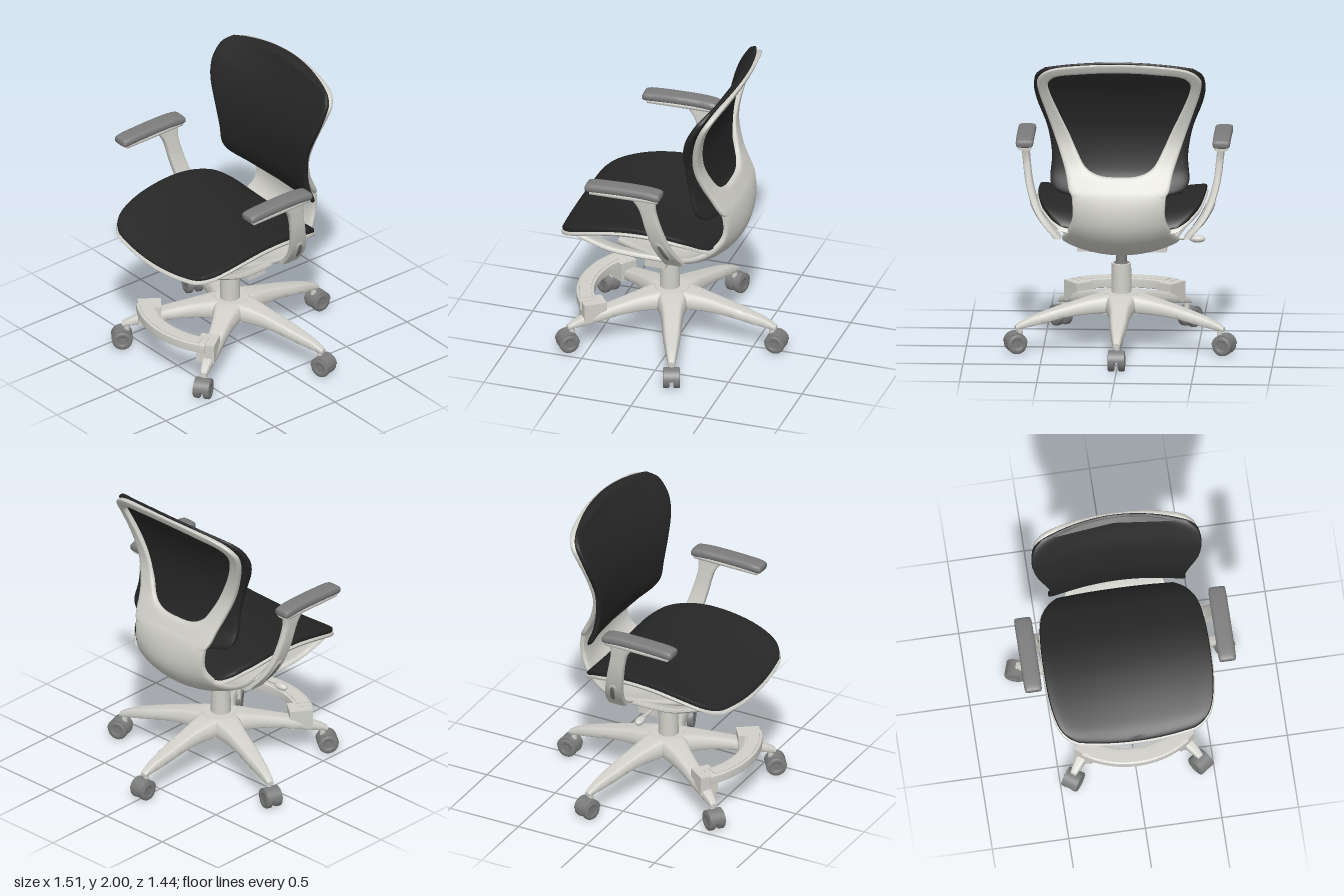
import * as THREE from 'three';
import { mergeVertices, toCreasedNormals } from 'three/addons/utils/BufferGeometryUtils.js';

const mat = (name, color) => Object.assign(new THREE.MeshStandardMaterial({ color }), { name });
const lerp = (a, b, t) => a + (b - a) * t;
const curve = points => new THREE.CatmullRomCurve3(points.map(p => new THREE.Vector3(...p)));

// Smooth lookup through [x, value] pairs sorted by x
function graph(...p) {
  const slope = i => {
    const a = p[Math.max(i - 1, 0)], b = p[Math.min(i + 1, p.length - 1)];
    return (b[1] - a[1]) / (b[0] - a[0]);
  };
  return x => {
    x = Math.min(Math.max(x, p[0][0]), p[p.length - 1][0]);
    let i = 0;
    while (i < p.length - 2 && x > p[i + 1][0]) i++;
    const d = p[i + 1][0] - p[i][0], t = (x - p[i][0]) / d, t2 = t * t, t3 = t2 * t;
    return p[i][1] * (2 * t3 - 3 * t2 + 1) + p[i + 1][1] * (3 * t2 - 2 * t3)
      + d * (slope(i) * (t3 - 2 * t2 + t) + slope(i + 1) * (t3 - t2));
  };
}

// Loft of rounded sections: f(t, s, h) with s across (-1..1) and h through the thickness (-1..1)
function loft(f, { nt = 24, np = 24, n = 4, closed = false } = {}) {
  const pos = [], idx = [], rows = closed ? nt : nt + 1;
  for (let i = 0; i < rows; i++) {
    for (let j = 0; j < np; j++) {
      const a = (j / np) * Math.PI * 2, s = Math.cos(a);
      const h = Math.sign(Math.sin(a)) * Math.pow(Math.max(0, 1 - Math.abs(s) ** n), 1 / n);
      pos.push(...f(i / nt, s, h));
    }
  }
  for (let i = 0; i < nt; i++) for (let j = 0; j < np; j++) {
    const k = (j + 1) % np, r = ((i + 1) % rows) * np;
    idx.push(i * np + j, i * np + k, r + k, i * np + j, r + k, r + j);
  }
  if (!closed) for (const row of [0, nt]) {
    const c = [0, 0, 0], at = pos.length / 3;
    for (let j = 0; j < np * 3; j++) c[j % 3] += pos[row * np * 3 + j] / np;
    pos.push(...c);
    for (let j = 0; j < np; j++) {
      const a = row * np + j, b = row * np + (j + 1) % np;
      idx.push(at, ...(row ? [a, b] : [b, a]));
    }
  }
  // Turn the faces outward
  let volume = 0;
  const v = i => new THREE.Vector3(pos[i * 3], pos[i * 3 + 1], pos[i * 3 + 2]);
  for (let i = 0; i < idx.length; i += 3) volume += v(idx[i]).dot(v(idx[i + 1]).cross(v(idx[i + 2])));
  if (volume < 0) idx.reverse();
  const g = new THREE.BufferGeometry();
  g.setAttribute('position', new THREE.Float32BufferAttribute(pos, 3));
  g.setIndex(idx);
  return toCreasedNormals(mergeVertices(g, 1e-5), 0.8);
}

export function createModel() {
  const frame = mat('frameGrey', 0xd0cfc9), grey = mat('darkGrey', 0x7c7c7c), black = mat('blackFabric', 0x262626);
  const model = new THREE.Group(), upper = new THREE.Group(), base = new THREE.Group();
  upper.name = 'upperChair';
  base.name = 'base';
  const add = (parent, name, geo, m, x = 0, y = 0, z = 0) => {
    const mesh = new THREE.Mesh(geo, m);
    mesh.name = name;
    mesh.position.set(x, y, z);
    parent.add(mesh);
    return mesh;
  };
  const ease = t => (1 - Math.cos(Math.PI * t)) / 2;
  const taper = t => Math.sqrt(Math.max(0, 1 - Math.abs(2 * t - 1) ** 14));

  // Backrest cushion
  const backFront = graph([1.07, -.35], [1.15, -.305], [1.25, -.265], [1.45, -.24], [1.6, -.25], [1.76, -.3], [1.92, -.385], [2, -.42]);
  const backWidth = graph([0, .4], [.03, .435], [.08, .45], [.25, .44], [.37, .45], [.5, .475], [.68, .53], [.8, .553], [.89, .553], [.96, .535], [1, .48]);
  add(upper, 'backCushion', loft((t, s, h) => {
    t = ease(t);
    const x = s * backWidth(t), y = lerp(1.065 + .25 * x * x, 2 - .25 * x * x, t), b = (x / .45) ** 2;
    return [x, y, backFront(y) + .053 * b - .02 + h * (.02 + .007 * b) * taper(t)];
  }, { nt: 48, np: 48, n: 6 }), black);

  // Backrest frame with its large opening
  const outline = half => new THREE.CatmullRomCurve3(
    [...half, ...half.slice(1, -1).reverse().map(([x, y]) => [-x, y])].map(([x, y]) => new THREE.Vector3(x, y, 0)), true);
  const outer = outline([[0, 1.08], [.2, 1.08], [.305, 1.1], [.35, 1.25], [.41, 1.43], [.475, 1.62], [.525, 1.78], [.53, 1.86], [.47, 1.925], [.28, 1.968], [0, 1.985]]);
  const inner = outline([[0, 1.215], [.13, 1.225], [.215, 1.27], [.275, 1.37], [.33, 1.49], [.405, 1.65], [.455, 1.78], [.46, 1.835], [.42, 1.88], [.25, 1.91], [0, 1.925]]);
  const backRear = graph([1, -.46], [1.1, -.435], [1.2, -.385], [1.3, -.335], [1.45, -.295], [1.6, -.31], [1.76, -.36], [1.92, -.44], [2, -.475]);
  add(upper, 'backFrame', loft((t, s, h) => {
    const p = inner.getPoint(t).lerp(outer.getPoint(t), (s + 1) / 2);
    return [p.x, p.y, backRear(p.y) + .03 * (p.x / .45) ** 2 + .02 + h * .02];
  }, { nt: 100, np: 28, n: 5, closed: true }), frame);

  // Spine sweeping from the backrest down and under the seat
  const spinePath = curve([[0, 1.18, -.374], [0, 1.1, -.413], [0, .97, -.438], [0, .88, -.425], [0, .79, -.37], [0, .72, -.28],
    [0, .683, -.18], [0, .668, -.06], [0, .69, .1], [0, .71, .22], [0, .735, .34]]);
  const spineWidth = graph([0, .315], [.1, .305], [.2, .3], [.35, .33], [.5, .37], [.65, .38], [.8, .35], [1, .27]);
  const spineBow = graph([0, .014], [.12, .016], [.27, .05], [.5, .085], [.75, .08], [1, .04]);
  const spineThick = graph([0, .014], [.15, .025], [1, .025]);
  add(upper, 'spine', loft((t, s, h) => {
    const p = spinePath.getPoint(t), d = spinePath.getTangent(t), o = spineBow(t) * s * s + h * spineThick(t);
    return [s * spineWidth(t), p.y + d.z * o, p.z - d.y * o];
  }, { nt: 48, np: 36, n: 5 }), frame);

  // Seat cushion and the pan below it
  const seatTop = graph([-.37, .9], [-.3, .95], [-.2, 1], [0, 1.04], [.2, 1.04], [.4, 1.01], [.6, .955], [.71, .91]);
  const seatWidth = graph([0, .38], [.05, .45], [.15, .51], [.35, .54], [.6, .543], [.75, .535], [.87, .513], [.94, .482], [.98, .435], [1, .38]);
  const seatSlab = (drop, thick, grow, bulge) => loft((t, s, h) => {
    t = ease(t);
    const x = s * seatWidth(t), z = lerp(-.36 + .2 * x * x, .702 - .19 * x * x, t);
    const belly = h < 0 ? bulge * Math.sin(Math.PI * t) * (1 - s * s) : 0;
    const y = seatTop(z) - .045 * (1 - (x / .54) ** 2) - drop - thick / 2 + h * (thick / 2 * taper(t) + belly);
    return [x * grow, y, .17 + (z - .17) * grow];
  }, { nt: 44, np: 44, n: 6 });
  add(upper, 'seatCushion', seatSlab(0, .05, 1, 0), black);
  add(upper, 'seatPan', seatSlab(.037, .035, 1.012, .05), frame);

  // Arm shape: sideways position, depth position and half depth by height
  const armX = graph([.76, .42], [.85, .5], [.95, .56], [1.1, .605], [1.25, .625], [1.34, .633]);
  const armZ = graph([.76, -.085], [.82, -.075], [1.02, -.022], [1.24, .03], [1.34, .06]);
  const armW = graph([.76, .068], [.9, .062], [1.1, .055], [1.2, .053], [1.26, .06], [1.34, .095]);
  const round = r => (y, t) => r * Math.sqrt(Math.max(.001, 1 - Math.abs(2 * t - 1) ** 5));
  const padY = graph([0, 1.36], [.15, 1.367], [.5, 1.373], [.8, 1.372], [1, 1.362]);
  const railPath = curve([[.385, .875, .6], [.39, .835, .48], [.365, .775, .33], [.32, .735, .17], [.28, .71, 0]]);

  for (const side of [-1, 1]) {
    const mirror = f => (t, s, h) => { const [x, y, z] = f(t, s, h); return [side * x, y, z]; };
    // Armrest: stem, height slot, carrier and pad
    const arm = new THREE.Group();
    arm.name = 'armrest';
    arm.position.set(-.01, 0, side * -.015);
    upper.add(arm);
    const armPart = (y0, y1, width, out) => loft(mirror((t, s, h) => {
      const y = lerp(y0, y1, t);
      return [armX(y) + h * out, y, armZ(y) + s * width(y, t)];
    }), { nt: 24, n: 5 });
    add(arm, 'armStem', armPart(.755, 1.335, armW, .024), frame);
    add(arm, 'armSlotRim', armPart(.81, .99, round(.035), .029), frame);
    add(arm, 'armSlot', armPart(.83, .97, round(.02), .032), grey);
    add(arm, 'armCarrier', loft(mirror((t, s, h) => [.636 + s * .046, lerp(1.332, 1.337, t) + h * .018, lerp(.41, -.05, t)])), frame);
    add(arm, 'armPad', loft(mirror((t, s, h) => {
      t = ease(t);
      return [.636 + s * .0575 * (.85 + .15 * taper(t)), padY(t) + h * .029 * (.6 + .4 * taper(t)), lerp(.44, -.066, t)];
    })), grey);
    // Broad rail from the front of the seat down to the spine
    add(upper, 'seatRail', loft(mirror((t, s, h) => {
      const p = railPath.getPoint(t);
      return [p.x + s * .085 - h * .008, p.y + s * .036 + h * .018, p.z];
    })), frame);
    add(upper, 'mechanismBlock', new THREE.BoxGeometry(.2, .05, .14), frame, side * .19, .66, .07);
  }

  // Tilt mechanism and height lever
  add(upper, 'mechanism', new THREE.BoxGeometry(.14, .06, .16), grey, 0, .66, .065);
  add(upper, 'leverRod', new THREE.CylinderGeometry(.01, .01, .4, 12).rotateZ(Math.PI / 2 - .06), frame, -.27, .695, .12);
  add(upper, 'leverPaddle', new THREE.SphereGeometry(1, 20, 12).scale(.052, .025, .03), frame, -.485, .7, .12);

  // Gas lift
  add(base, 'liftRod', new THREE.CylinderGeometry(.035, .035, .16, 24), grey, 0, .61, .015);
  add(base, 'liftCollar', new THREE.CylinderGeometry(.048, .048, .012, 24), grey, 0, .55, .015);
  add(base, 'liftTube', new THREE.CylinderGeometry(.063, .066, .21, 32), frame, 0, .445, .015);

  // Five-armed base with casters
  add(base, 'hub', new THREE.CylinderGeometry(.11, .15, .12, 30), frame, 0, .298, 0);
  const legTop = graph([0, .358], [.12, .354], [.36, .302], [.6, .235], [.68, .2], [.71, .18]);
  const legBottom = graph([0, .24], [.15, .24], [.36, .225], [.6, .175], [.71, .155]);
  const legWidth = graph([0, .12], [.1, .1], [.25, .07], [.5, .05], [.67, .028], [.71, .02]);
  const legGeo = loft((t, s, h) => {
    const r = t * .71, a = legTop(r), b = legBottom(r);
    return [s * legWidth(r) * (1 - .12 * h), (a + b) / 2 + h * (a - b) / 2, r];
  }, { n: 5 });
  const wheelGeo = loft((t, s, h) => {
    const a = t * Math.PI * 2, r = .044 + h * .022;
    return [s * .022, r * Math.sin(a), r * Math.cos(a)];
  }, { nt: 28, np: 16, closed: true });
  const hoodGeo = new THREE.CylinderGeometry(.068, .068, .104, 24, 1, false, 0, Math.PI).rotateZ(Math.PI / 2);
  for (let i = 0; i < 5; i++) {
    const spoke = new THREE.Group();
    spoke.name = 'spoke';
    spoke.rotation.y = Math.PI + i * Math.PI * 2 / 5;
    add(spoke, 'leg', legGeo, frame);
    add(spoke, 'casterStem', new THREE.CylinderGeometry(.017, .02, .07, 16), frame, 0, .145, .68);
    add(spoke, 'casterHood', hoodGeo, grey, 0, .07, .71);
    for (const x of [-.034, .034]) {
      add(spoke, 'casterWheel', wheelGeo, grey, x, .066, .71);
      add(spoke, 'wheelCap', new THREE.CylinderGeometry(.045, .045, .038, 24).rotateZ(Math.PI / 2), grey, x, .066, .71);
    }
    base.add(spoke);
  }

  // Curved footrest clamped to the two front legs
  add(base, 'footrest', loft((t, s, h) => {
    const a = lerp(-.6, .6, t), r = .562 + s * .058;
    return [r * Math.sin(a), .298 + h * .032, r * Math.cos(a)];
  }, { nt: 32, n: 8 }), frame);
  add(base, 'footrestTread', loft((t, s, h) => {
    const a = lerp(-.53, .53, t), r = .562 + s * .04;
    return [r * Math.sin(a), .331 + h * .004, r * Math.cos(a)];
  }, { nt: 32, n: 8 }), frame);
  for (const side of [-1, 1]) {
    const clamp = add(base, 'footrestClamp', new THREE.BoxGeometry(.12, .13, .15), frame, side * .3, .262, .44);
    clamp.rotation.y = side * Math.PI / 5;
  }

  base.position.z = .05;
  upper.position.x = -.004;
  model.add(base, upper);
  return model;
}
